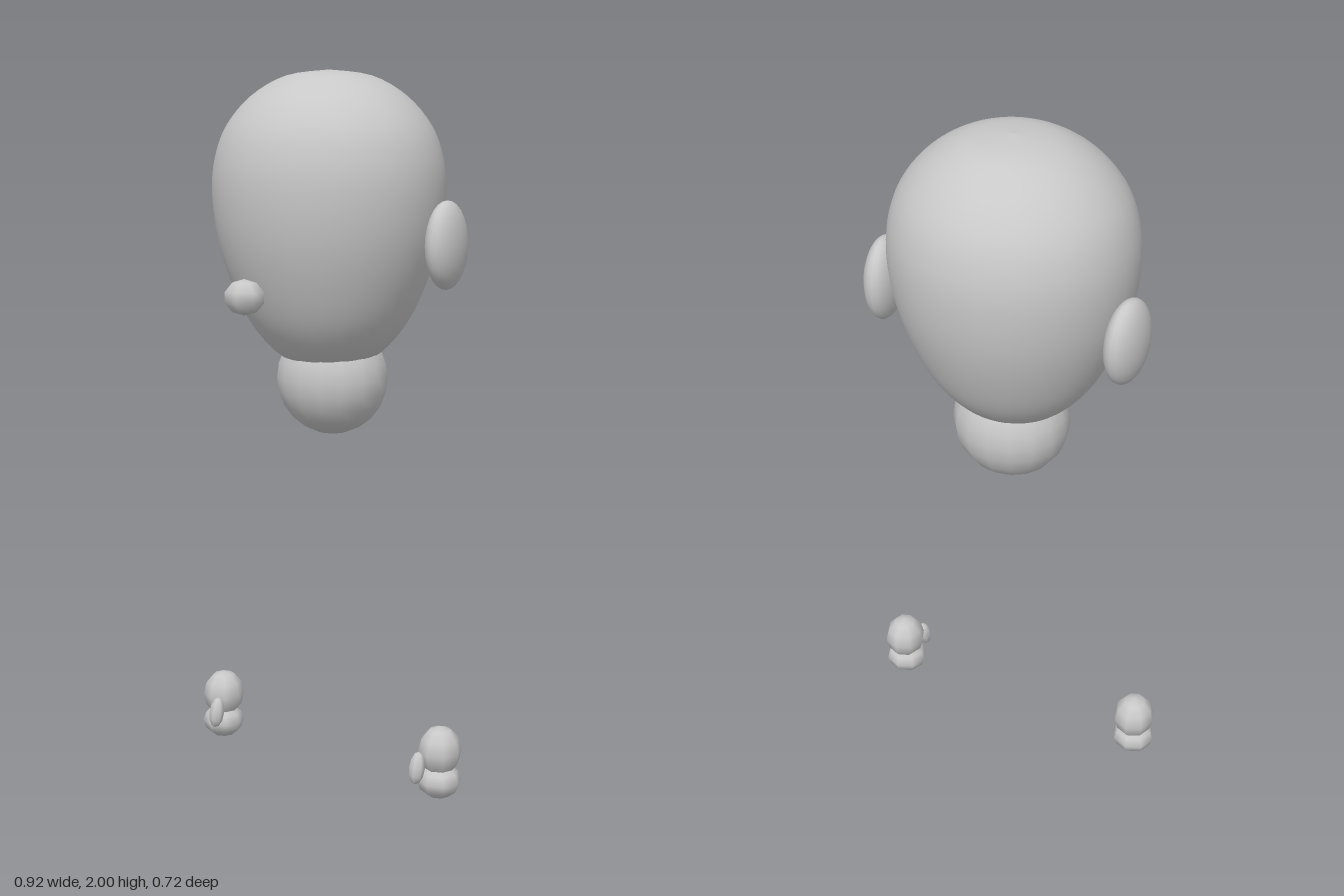
import * as THREE from 'three';

export function createModel() {
  const group = new THREE.Group();
  const grey = new THREE.MeshStandardMaterial({ color: 0xc8c8c8 });
  grey.name = 'grey';

  // Ellipsoid with given centre, radii and facet counts
  function blob(name, parent, pos, radii, ws, hs, rot = [0, 0, 0]) {
    const mesh = new THREE.Mesh(new THREE.SphereGeometry(1, ws, hs), grey);
    mesh.name = name;
    mesh.position.set(...pos);
    mesh.scale.set(...radii);
    mesh.rotation.set(...rot);
    parent.add(mesh);
    return mesh;
  }

  // Head: egg profile, bottom to top, squashed front to back
  const profile = new THREE.SplineCurve([
    [0, 1.175], [0.08, 1.187], [0.155, 1.228], [0.225, 1.31], [0.278, 1.42],
    [0.315, 1.54], [0.33, 1.66], [0.322, 1.76], [0.288, 1.85], [0.218, 1.93],
    [0.12, 1.984], [0, 2.0],
  ].map(([x, y]) => new THREE.Vector2(x, y)));
  const points = profile.getPoints(44);
  points.forEach((p) => { p.x = Math.max(0, p.x); });
  const headGeometry = new THREE.LatheGeometry(points, 48);
  headGeometry.scale(1, 1, 0.945);
  const head = new THREE.Mesh(headGeometry, grey);
  head.name = 'head';
  head.position.z = -0.052;
  group.add(head);

  // Neck and nose
  blob('neck', group, [0, 1.15, -0.07], [0.162, 0.162, 0.152], 16, 12);
  blob('nose', group, [-0.004, 1.406, 0.31], [0.058, 0.048, 0.052], 7, 5);

  // Ears and hands, mirrored left and right
  for (const [side, s] of [['left', 1], ['right', -1]]) {
    blob(side + 'Ear', group, [s * 0.348, 1.533, -0.118], [0.048, 0.12, 0.092], 20, 14, [0, s * 0.12, 0]);

    const hand = new THREE.Group();
    hand.name = side + 'Hand';
    blob('palm', hand, [s * 0.396, 0.135, -0.045], [0.061, 0.071, 0.063], 8, 6);
    blob('fingers', hand, [s * 0.396, 0.05, -0.042], [0.063, 0.05, 0.061], 8, 6);
    blob('thumb', hand, [s * 0.366, 0.098, 0.024], [0.023, 0.046, 0.022], 7, 6, [-0.2, 0, 0]);
    group.add(hand);
  }
  return group;
}
